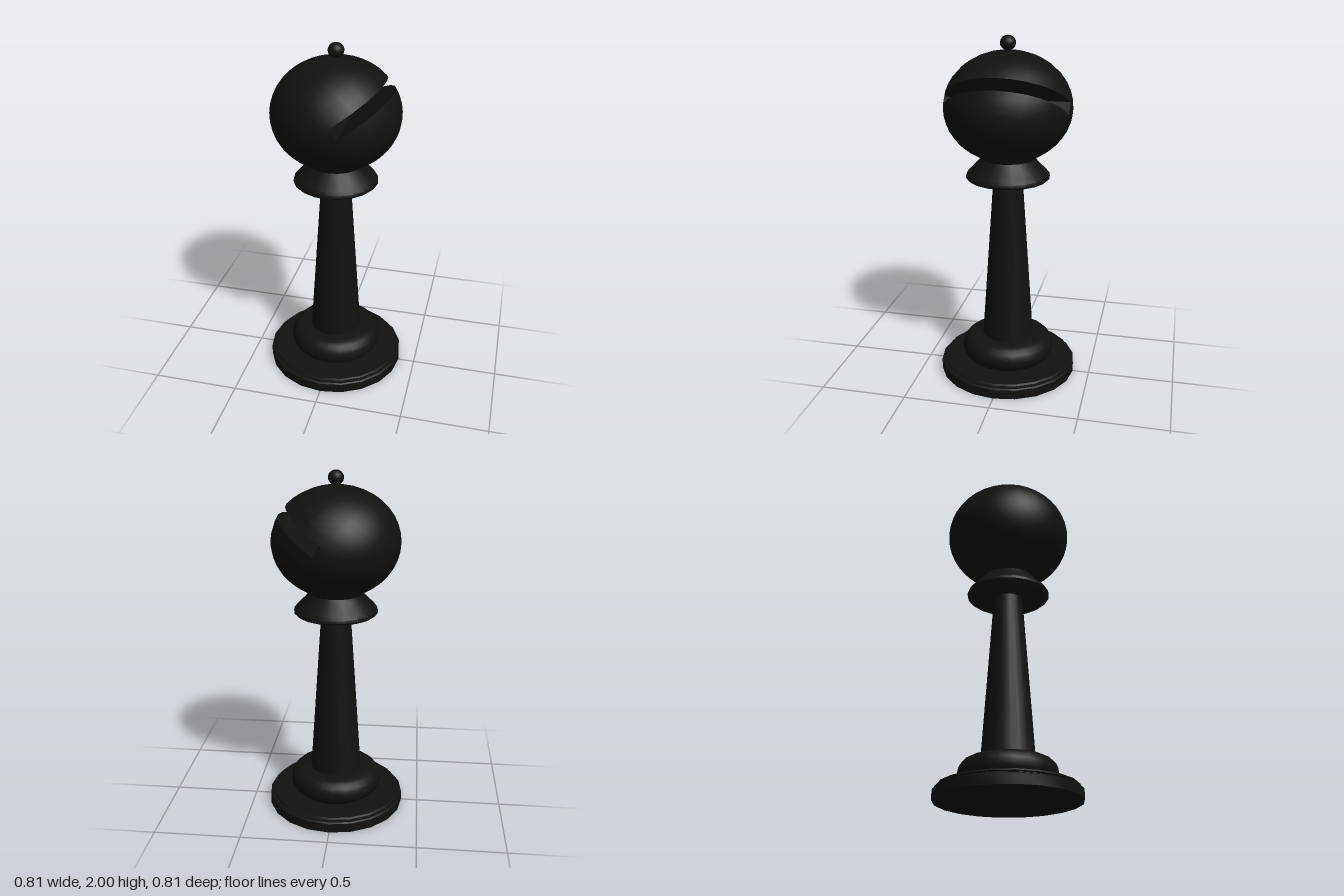
import * as THREE from 'three';
import { mergeGeometries, toCreasedNormals } from 'three/addons/utils/BufferGeometryUtils.js';
import { ParametricGeometry } from 'three/addons/geometries/ParametricGeometry.js';

const SIDES = 20;

// Soft normals with sharp edges; enlarged meanwhile so fine steps stay distinct
function crease(geometry) {
  return toCreasedNormals(geometry.scale(20, 20, 20), 0.6).scale(0.05, 0.05, 0.05);
}

function turned(profile) {
  return crease(new THREE.LatheGeometry(profile.map(([r, y]) => new THREE.Vector2(r, y)), SIDES));
}

// Ball with a straight slot, made as a unit sphere whose slot runs along +x,
// then tilted and stretched to size
function slottedBall(radius, halfHeight, tilt) {
  const low = -0.17, high = 0.051;
  const end = (s) => THREE.MathUtils.mapLinear(s, low, high, 0.167, 0.197);
  const ring = (s) => Math.sqrt(Math.max(0, 1 - s * s));
  const open = (s) => Math.acos(end(s) / ring(s));
  const lerp = THREE.MathUtils.lerp;
  const KEPT = 36, GAP = 12, ALL = KEPT + GAP;
  const keptAngle = (s, v) => lerp(open(s), 2 * Math.PI - open(s), v);
  const gapAngle = (s, v) => lerp(-open(s), open(s), v);
  const onSphere = (s, a, p) => p.set(ring(s) * Math.cos(a), s, ring(s) * Math.sin(a));

  // Whole caps below and above the slot
  const cap = (from, to, edge) => new ParametricGeometry((u, v, p) => {
    const s = Math.sin(lerp(from, to, u));
    const k = v * ALL;
    onSphere(s, k <= KEPT ? keptAngle(edge, k / KEPT) : gapAngle(edge, (k - KEPT) / GAP), p);
  }, 10, ALL);

  // Flat slot walls, from the inner chord out to the rim
  const wall = (s, flip) => new ParametricGeometry((u, v, p) => {
    const a = gapAngle(s, flip ? 1 - v : v);
    p.set(lerp(end(s), ring(s) * Math.cos(a), u), s, ring(s) * Math.sin(a));
  }, 1, GAP);

  // Remaining outside surface level with the slot
  const band = new ParametricGeometry((u, v, p) => {
    const s = lerp(low, high, u);
    onSphere(s, keptAngle(s, v), p);
  }, 3, KEPT);

  // Inner end of the slot
  const endWall = new ParametricGeometry((u, v, p) => {
    const s = lerp(low, high, u);
    p.set(end(s), s, ring(s) * Math.sin(gapAngle(s, v)));
  }, 3, 1);

  const parts = [
    cap(-Math.PI / 2, Math.asin(low), low),
    cap(Math.asin(high), Math.PI / 2, high),
    band, endWall, wall(low, true), wall(high, false),
  ];
  return crease(mergeGeometries(parts)).rotateZ(tilt).scale(radius, halfHeight, radius);
}

export function createModel() {
  const group = new THREE.Group();
  const material = new THREE.MeshStandardMaterial({ color: 0x111110 });
  const add = (name, geometry, y = 0) => {
    const mesh = new THREE.Mesh(geometry, material);
    mesh.name = name;
    mesh.position.y = y;
    group.add(mesh);
  };

  // Stepped foot with a thin lip
  add('base', turned([
    [0, 0], [0.403, 0], [0.403, 0.055], [0.395, 0.061], [0.372, 0.062],
    [0.37, 0.069], [0.386, 0.073], [0.38, 0.082], [0, 0.082],
  ]));

  // Rounded ring under the stem
  const bulge = [[0, 0.07], [0.2, 0.07]];
  for (let i = 0; i <= 10; i++) {
    const a = -Math.PI / 2 + (i / 10) * Math.PI;
    bulge.push([0.195 + 0.077 * Math.cos(a), 0.15 + 0.078 * Math.sin(a)]);
  }
  add('lowerRing', turned([...bulge, [0, 0.228]]));

  // Tapered stem
  add('stem', turned([[0.152, 0.2], [0.084, 1.2]]));

  // Flared collar below the head
  add('collar', turned([
    [0, 1.19], [0.19, 1.19], [0.225, 1.197], [0.24, 1.21], [0.238, 1.225],
    [0.222, 1.245], [0.168, 1.3], [0.155, 1.32], [0.168, 1.335], [0, 1.335],
  ]));

  add('slottedHead', slottedBall(0.36, 0.31, Math.atan2(0.612, 0.79)), 1.61);
  add('finial', new THREE.SphereGeometry(0.044, SIDES, 12).scale(1, 0.93, 1), 1.959);

  return group;
}
